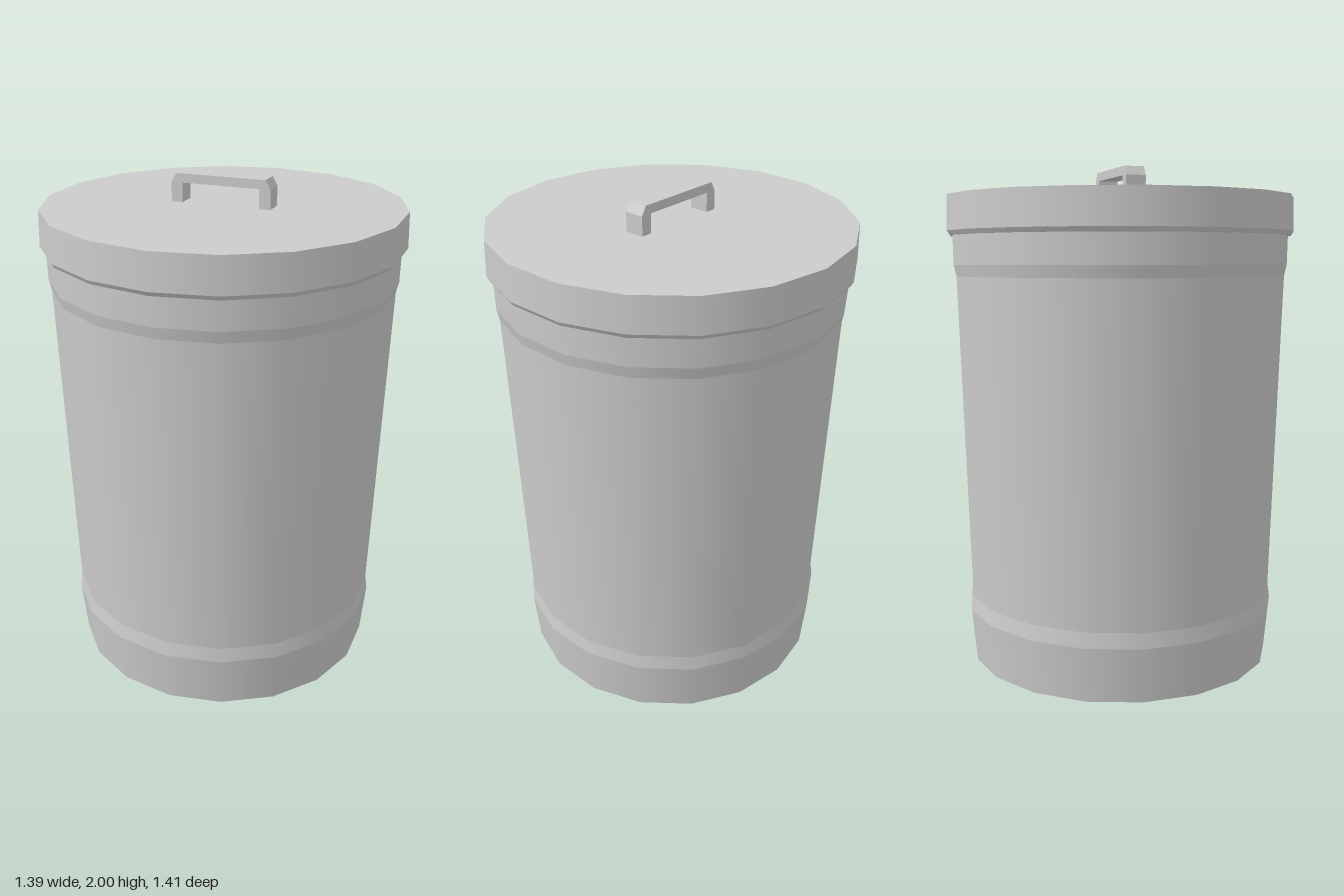
import * as THREE from 'three';
import { mergeGeometries } from 'three/addons/utils/BufferGeometryUtils.js';

const SIDES = 18;
const material = new THREE.MeshStandardMaterial({ color: 0xcccccc });

// Turned part: smooth around the axis, sharp between the bands of the profile
function turned(name, profile) {
  const points = profile.map(([r, y]) => new THREE.Vector2(r, y));
  const bands = points.slice(1).map((p, i) => new THREE.LatheGeometry([points[i], p], SIDES));
  const mesh = new THREE.Mesh(mergeGeometries(bands), material);
  mesh.name = name;
  return mesh;
}

export function createModel() {
  const group = new THREE.Group();
  group.name = 'trashCan';

  // Tapered body with a flared foot and a stepped collar, closed inside the lid
  group.add(turned('body', [
    [0, 0], [0.62, 0], [0.64, 0.215], [0.632, 0.275],
    [0.672, 1.575], [0.682, 1.62], [0.685, 1.8], [0, 1.8],
  ]));

  // Lid with a skirt and a bevelled lower lip
  group.add(turned('lid', [
    [0.68, 1.735], [0.695, 1.735], [0.706, 1.752], [0.702, 1.89], [0, 1.89],
  ]));

  // Bracket handle with chamfered upper corners
  const outline = [
    [-0.2, 1.885], [-0.155, 1.885], [-0.155, 1.965], [0.155, 1.965], [0.155, 1.885],
    [0.2, 1.885], [0.2, 1.965], [0.18, 2], [-0.18, 2], [-0.2, 1.965],
  ];
  const shape = new THREE.Shape(outline.map(([x, y]) => new THREE.Vector2(x, y)));
  const handleGeometry = new THREE.ExtrudeGeometry(shape, { depth: 0.08, bevelEnabled: false });
  handleGeometry.translate(0, 0, -0.04);
  const handle = new THREE.Mesh(handleGeometry, material);
  handle.name = 'lidHandle';
  group.add(handle);

  return group;
}
